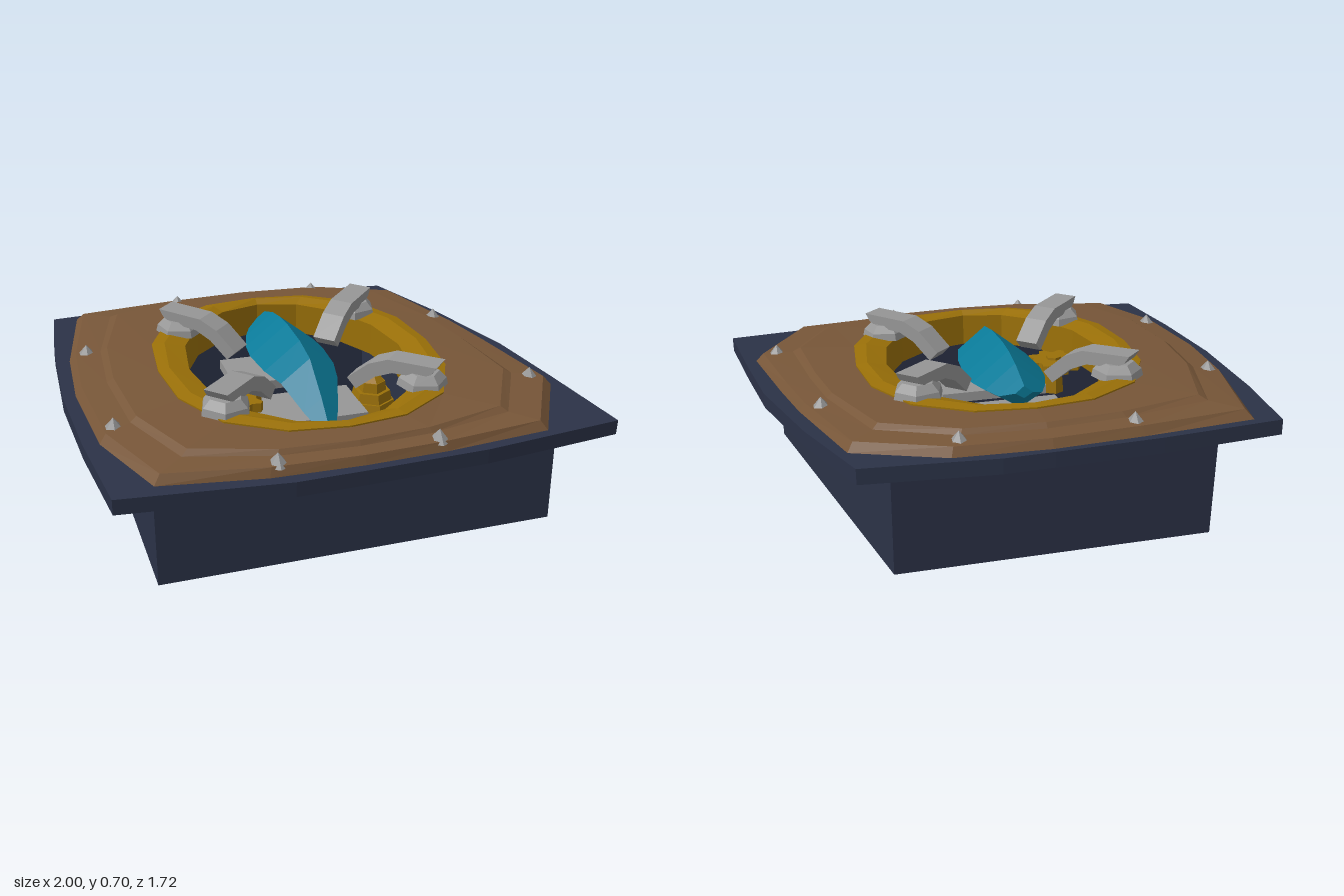
import * as THREE from 'three';

const mat = (name, color, side = THREE.FrontSide) => {
  const m = new THREE.MeshStandardMaterial({ color, side, flatShading: true });
  m.name = name;
  return m;
};

// Joins closed loops of [x, y, z] points with quads
function loft(loops) {
  const pos = [];
  for (let k = 0; k < loops.length - 1; k++) {
    const A = loops[k], B = loops[k + 1], n = A.length;
    for (let i = 0; i < n; i++) {
      const j = (i + 1) % n;
      pos.push(...A[i], ...B[i], ...A[j], ...A[j], ...B[i], ...B[j]);
    }
  }
  const g = new THREE.BufferGeometry();
  g.setAttribute('position', new THREE.Float32BufferAttribute(pos, 3));
  g.computeVertexNormals();
  return g;
}

// Oval outline; square > 0 pushes the diagonals outwards
const CX = -0.05, CZ = 0.02, N = 16;
const oval = (rx, rz, square = 0) => Array.from({ length: N }, (_, i) => {
  const a = (i / N) * Math.PI * 2, k = 1 + square * Math.sin(2 * a) ** 2;
  return [CX + rx * k * Math.cos(a), CZ + rz * k * Math.sin(a)];
});
const at = (pts, h) => pts.map(([x, z]) => [x, h, z]);
const mix = (A, B, t) => A.map(([x, z], i) => [x + (B[i][0] - x) * t, z + (B[i][1] - z) * t]);

function gearShape(r, teeth) {
  const s = new THREE.Shape();
  for (let i = 0; i < teeth * 4; i++) {
    const a = ((i + 0.5) / (teeth * 4)) * Math.PI * 2;
    const q = i % 4 < 2 ? r : r * 0.76;
    s[i ? 'lineTo' : 'moveTo'](q * Math.cos(a), q * Math.sin(a));
  }
  return s;
}

export function createModel() {
  const root = new THREE.Group();
  const dark = mat('dark slate', 0x2b3247, THREE.DoubleSide);
  const brown = mat('brown leather', 0x775638);
  const gold = mat('gold', 0x9a7008);
  const grey = mat('grey metal', 0x969696);
  const teal = mat('teal gem', 0x0a7a98);
  const add = (parent, name, geo, m, x = 0, y = 0, z = 0) => {
    const o = new THREE.Mesh(geo, m);
    o.name = name;
    o.position.set(x, y, z);
    parent.add(o);
    return o;
  };

  // Hollow box narrowing to the back, open at the top, its rim following the tilted slab
  const rect = [[0.5, -0.64], [0.81, 0.65], [-0.78, 0.65], [-0.77, -0.64]];
  add(root, 'box', loft([
    rect.map(() => [0, 0, 0]), at(rect, 0),
    rect.map(([x, z]) => [x, 0.455 - 0.064 * z, z]),
  ]), dark);

  // Everything on top leans forward
  const top = new THREE.Group();
  top.name = 'tiltedTop';
  top.position.y = 0.503;
  top.rotation.x = 0.064;
  root.add(top);

  const slab = [[0.9, 0], [0.95, 0.36], [1, 0.775], [0.42, 0.84], [-0.05, 0.855], [-0.32, 0.86],
    [-0.94, 0.795], [-0.98, 0.4], [-1, 0], [-0.98, -0.44], [-0.94, -0.8], [-0.46, -0.84],
    [-0.05, -0.855], [0.14, -0.86], [0.64, -0.81], [0.78, -0.43]];
  const hole = oval(0.48, 0.61);
  add(top, 'slab', loft([at(slab, -0.06), at(slab, 0), at(hole, 0), at(hole, -0.06), at(slab, -0.06)]), dark);

  // Stepped frame
  const rim = [[0.83, 0], [0.91, 0.42], [0.7, 0.77], [0.27, 0.81], [-0.05, 0.82], [-0.4, 0.81],
    [-0.79, 0.75], [-0.92, 0.41], [-0.95, 0], [-0.93, -0.33], [-0.84, -0.77], [-0.4, -0.81],
    [-0.05, -0.83], [0.31, -0.81], [0.65, -0.67], [0.78, -0.23]];
  const bezel = oval(0.575, 0.645, 0.07);
  add(top, 'frame', loft([[0, 0], [0.08, 0.035], [0.38, 0.046], [0.46, 0.064], [1, 0.072]]
    .map(([t, h]) => at(mix(rim, bezel, t), h))), brown);

  // Gold ring with a deep inner wall
  const well = oval(0.45, 0.585);
  add(top, 'goldRing', loft([
    at(bezel, 0.04), at(bezel, 0.078), at(oval(0.53, 0.615, 0.04), 0.086),
    at(well, 0.068), at(well, -0.07), at(hole, -0.07),
  ]), gold);

  // Studs around the frame
  for (const [x, z] of [[-0.38, -0.75], [0.27, -0.75], [-0.86, -0.31], [0.7, -0.29],
    [-0.86, 0.36], [0.82, 0.39], [-0.36, 0.77], [0.25, 0.77]])
    add(top, 'stud', new THREE.ConeGeometry(0.042, 0.05, 6), grey, x, 0.05, z);

  // Gem: tail at the front, [z, half width, ridge height]
  const gem = [[0.5, 0.001, -0.09], [0.35, 0.07, 0.037], [0.2, 0.118, 0.138], [0.07, 0.148, 0.16],
    [-0.1, 0.16, 0.164], [-0.2, 0.15, 0.156], [-0.3, 0.122, 0.136], [-0.38, 0.087, 0.108],
    [-0.43, 0.035, 0.09], [-0.43, 0.001, 0.08]];
  add(top, 'gem', loft(gem.map(([z, w, h]) => [
    [w, h - 0.8 * w, z], [0, h, z], [-w, h - 0.8 * w, z], [0, h - 1.4 * w, z],
  ])), teal, -0.055);

  // Plates under the gem
  for (const z of [-0.23, 0.155])
    add(top, 'plate', new THREE.BoxGeometry(0.45, 0.04, 0.26), grey, -0.055, -0.11, z);

  // Four claws on hexagonal feet
  const profile = new THREE.Shape([[0, 0.172], [0.02, 0.14], [0.06, 0.12], [0.18, 0.112], [0.25, 0.08],
    [0.33, 0.01], [0.37, 0.05], [0.28, 0.13], [0.2, 0.165]].map(p => new THREE.Vector2(...p)));
  for (const sx of [-1, 1]) for (const sz of [-1, 1]) {
    const claw = new THREE.Group();
    claw.name = 'claw';
    claw.position.set(-0.055 + sx * 0.445, 0, CZ + sz * 0.435);
    claw.rotation.y = Math.atan2(sz, -sx);
    top.add(claw);
    const arm = new THREE.ExtrudeGeometry(profile, { depth: 0.1, bevelEnabled: false });
    add(claw, 'clawArm', arm.translate(0, 0, -0.05), grey);
    add(claw, 'clawFoot', new THREE.CylinderGeometry(0.095, 0.102, 0.03, 6), grey, 0.07, 0.085, 0);
    add(claw, 'clawFootTop', new THREE.CylinderGeometry(0.065, 0.095, 0.03, 6), grey, 0.07, 0.115, 0);
  }

  // Gears and stacked nut inside the well
  const gear = (name, r, m, x, y, z) => add(top, name, new THREE.ExtrudeGeometry(gearShape(r, 8),
    { depth: 0.04, bevelEnabled: false }).rotateX(-Math.PI / 2), m, x, y, z);
  gear('goldGear', 0.115, gold, -0.35, -0.06, 0.15);
  add(top, 'gearHub', new THREE.CylinderGeometry(0.033, 0.045, 0.16, 6), gold, -0.35, -0.09, 0.15);
  gear('greyGear', 0.11, grey, -0.31, -0.13, 0.29);
  [[0.105, -0.12], [0.085, -0.08], [0.06, -0.04]].forEach(([r, y]) =>
    add(top, 'nut', new THREE.CylinderGeometry(r * 0.9, r, 0.04, 6), gold, 0.24, y, 0.14));
  add(top, 'nutTip', new THREE.ConeGeometry(0.05, 0.04, 6), gold, 0.24, 0, 0.14);

  return root;
}
